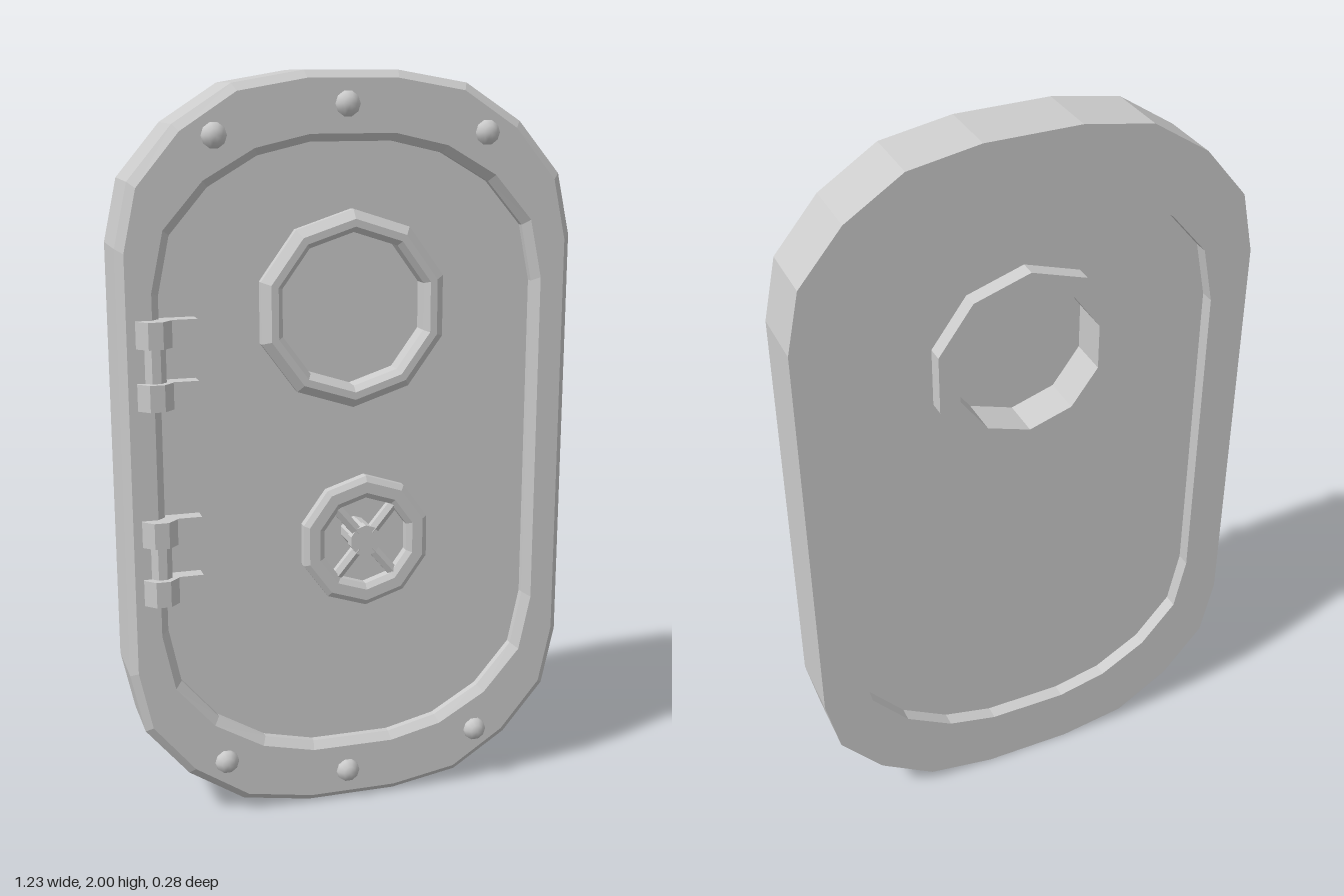
import * as THREE from 'three';

const grey = new THREE.MeshStandardMaterial({ color: 0xcccccc, flatShading: true });
const CY = 1; // mid height of the door

function add(parent, name, geometry, x = 0, y = 0, z = 0) {
  const mesh = new THREE.Mesh(geometry, grey);
  mesh.name = name;
  mesh.position.set(x, y, z);
  parent.add(mesh);
  return mesh;
}

// Mirrors the top right corner into a full counter-clockwise outline, shrunk by an inset
function outline(corner, inset = 0) {
  const sx = 1 - inset / corner[0][0];
  const sy = 1 - inset / corner[corner.length - 1][1];
  const q = corner.map(([x, y]) => [x * sx, y * sy]);
  const r = [...q].reverse();
  return [
    ...q,
    ...r.map(([x, y]) => [-x, y]),
    ...q.map(([x, y]) => [-x, -y]),
    ...r.map(([x, y]) => [x, -y]),
  ];
}

// Joins a closed series of outlines, each at its own depth
function loft(loops) {
  const pos = [];
  loops.forEach(([a, za], i) => {
    const [b, zb] = loops[(i + 1) % loops.length];
    a.forEach((p, j) => {
      const k = (j + 1) % a.length;
      const A = [...p, za], B = [...a[k], za], C = [...b[k], zb], D = [...b[j], zb];
      pos.push(...A, ...B, ...C, ...A, ...C, ...D);
    });
  });
  const g = new THREE.BufferGeometry();
  g.setAttribute('position', new THREE.Float32BufferAttribute(pos, 3));
  g.computeVertexNormals();
  return g;
}

// Ten-sided ring about the z axis from a closed [radius, z] profile
function ring(profile) {
  const pts = [...profile, profile[0]].map(([r, z]) => new THREE.Vector2(r, z));
  return new THREE.LatheGeometry(pts, 10).rotateX(Math.PI / 2);
}

function disc(radius, depth, sides) {
  return new THREE.CylinderGeometry(radius, radius, depth, sides).rotateX(Math.PI / 2);
}

const outerCorner = [[0.616, 0.568], [0.58, 0.732], [0.464, 0.87], [0.312, 0.968], [0.125, 1.0]];
const innerCorner = [[0.53, 0.457], [0.497, 0.612], [0.393, 0.732], [0.258, 0.81], [0.114, 0.843]];

function makeHinge(y) {
  const hinge = new THREE.Group();
  hinge.name = 'hinge';
  add(hinge, 'hingePin', new THREE.CylinderGeometry(0.03, 0.03, 0.2, 8).rotateY(Math.PI / 8), -0.525, y, 0.045);
  for (const s of [-1, 1]) {
    const ky = y + s * 0.08;
    add(hinge, 'hingeKnuckle', new THREE.CylinderGeometry(0.05, 0.05, 0.07, 8).rotateY(Math.PI / 8), -0.527, ky, 0.044);
    add(hinge, 'hingeLeaf', new THREE.BoxGeometry(0.1, 0.07, 0.045), -0.465, ky, 0.037);
  }
  return hinge;
}

function makeWheel() {
  const wheel = new THREE.Group();
  wheel.name = 'handWheel';
  wheel.position.set(0.013, 0.78, 0);
  add(wheel, 'wheelRim', ring([
    [0.168, 0.095], [0.18, 0.103], [0.18, 0.127], [0.165, 0.137],
    [0.135, 0.137], [0.12, 0.127], [0.12, 0.103], [0.132, 0.095],
  ]));
  add(wheel, 'wheelShaft', disc(0.038, 0.1, 10), 0, 0, 0.06);
  add(wheel, 'wheelHub', disc(0.043, 0.03, 10), 0, 0, 0.114);
  for (const a of [50, 130, 230, 310].map(THREE.MathUtils.degToRad)) {
    const spoke = add(wheel, 'wheelSpoke', new THREE.CylinderGeometry(0.016, 0.016, 0.1, 6),
      Math.cos(a) * 0.078, Math.sin(a) * 0.078, 0.114);
    spoke.rotation.z = a - Math.PI / 2;
  }
  return wheel;
}

export function createModel() {
  const model = new THREE.Group();
  model.name = 'hatchDoor';

  // Frame with bevelled outer and inner front edges
  add(model, 'frame', loft([
    [outline(outerCorner), -0.139],
    [outline(outerCorner), 0.037],
    [outline(outerCorner, 0.02), 0.057],
    [outline(innerCorner), 0.057],
    [outline(innerCorner, 0.02), 0.037],
    [outline(innerCorner, 0.02), -0.139],
  ]), 0, CY, 0);

  // Recessed door panel with a hole for the porthole
  const wx = 0.005, wy = 1.39;
  const panel = new THREE.Shape(outline(innerCorner, 0.012).map(([x, y]) => new THREE.Vector2(x, y)));
  const hole = new THREE.Path();
  for (let i = 0; i < 10; i++) {
    const a = Math.PI / 2 + (i * Math.PI) / 5;
    const x = wx + 0.23 * Math.cos(a), y = wy - CY + 0.23 * Math.sin(a);
    if (i) hole.lineTo(x, y);
    else hole.moveTo(x, y);
  }
  hole.closePath();
  panel.holes.push(hole);
  add(model, 'doorPanel', new THREE.ExtrudeGeometry(panel, { depth: 0.118, bevelEnabled: false }), 0, CY, -0.1);

  // Porthole ring and pane
  add(model, 'portholeRing', ring([
    [0.258, -0.143], [0.262, 0.04], [0.238, 0.062], [0.218, 0.062], [0.203, 0.045], [0.2, -0.143],
  ]), wx, wy, 0);
  add(model, 'portholePane', disc(0.215, 0.03, 10), wx, wy, -0.015);

  model.add(makeWheel());
  for (const y of [1.273, 0.75]) model.add(makeHinge(y));

  // Domed rivets along the top and bottom of the frame
  for (const s of [-1, 1]) {
    for (const [x, dy] of [[-0.362, 0.842], [-0.015, 0.917], [0.366, 0.842]]) {
      const dome = new THREE.SphereGeometry(0.036, 10, 6).rotateX(Math.PI / 2);
      add(model, 'rivet', dome, x, CY + s * dy, 0.047).material =
        new THREE.MeshStandardMaterial({ color: 0xcccccc });
    }
  }
  return model;
}
